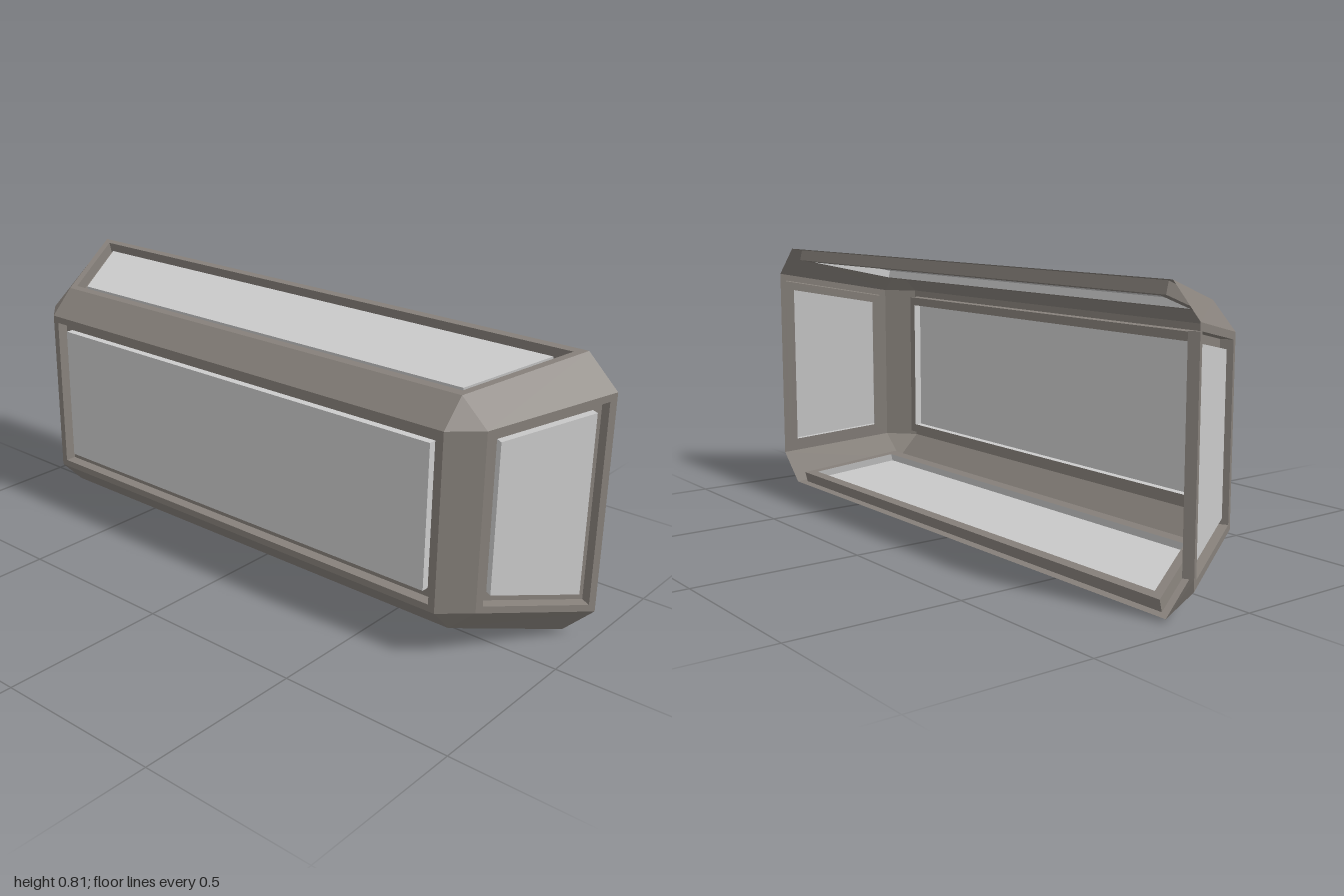
import * as THREE from 'three';

const bodyMat = new THREE.MeshStandardMaterial({ color: 0x87817b, side: THREE.DoubleSide, flatShading: true });
const glassMat = new THREE.MeshStandardMaterial({ color: 0xcccccc, side: THREE.DoubleSide, flatShading: true });

// Flat-sided mesh from convex polygons (arrays of Vector3)
function polyMesh(name, polys, material) {
  const pts = [];
  for (const p of polys)
    for (let i = 1; i < p.length - 1; i++) pts.push(p[0], p[i], p[i + 1]);
  const geo = new THREE.BufferGeometry().setFromPoints(pts);
  geo.computeVertexNormals();
  const mesh = new THREE.Mesh(geo, material);
  mesh.name = name;
  return mesh;
}

// Shrink a planar loop by a margin and sink it below its face
function insetLoop(loop, margin, depth) {
  const n = loop.length;
  const normal = loop[1].clone().sub(loop[0]).cross(loop[n - 1].clone().sub(loop[0])).normalize();
  return loop.map((p, i) => {
    const a = loop[(i + 1) % n].clone().sub(p).normalize();
    const b = loop[(i + n - 1) % n].clone().sub(p).normalize();
    const sin = a.clone().cross(b).length();
    return p.clone().addScaledVector(a.add(b), margin / sin).addScaledVector(normal, -depth);
  });
}

// Quads joining two loops
const strip = (A, B) => A.map((p, i) => {
  const j = (i + 1) % A.length;
  return [p, A[j], B[j], B[i]];
});

// Shell border, sunken frame and a pane standing proud of the frame
function windowPanel(name, loop) {
  const group = new THREE.Group();
  group.name = name;
  const hole = insetLoop(loop, 0.02, 0);
  const frameOuter = insetLoop(loop, 0.02, 0.034);
  const frameInner = insetLoop(loop, 0.046, 0.034);
  const pane = insetLoop(loop, 0.046, 0.011);
  group.add(
    polyMesh('panelBorder', strip(loop, hole), bodyMat),
    polyMesh('windowFrame', [...strip(hole, frameOuter), ...strip(frameOuter, frameInner)], bodyMat),
    polyMesh('glassPane', [...strip(frameInner, pane), pane], glassMat)
  );
  return group;
}

export function createModel() {
  const model = new THREE.Group();
  model.name = 'windowBay';

  // Key corners, mirrored by sign in x and y around the mid height
  const corner = (x, y, z) => (sx, sy) => new THREE.Vector3(sx * x, 0.405 + sy * y, z);
  const F = corner(0.74, 0.255, 0.193);
  const S = corner(0.82, 0.255, 0.12);
  const T = corner(0.74, 0.33, 0.12);
  const SB = corner(1, 0.315, -0.193);
  const TB = corner(0.91, 0.405, -0.193);
  const facing = (poly, sign) => (sign > 0 ? poly : poly.reverse());

  // Windows
  model.add(windowPanel('frontWindow', [F(-1, -1), F(1, -1), F(1, 1), F(-1, 1)]));
  for (const s of [1, -1]) {
    model.add(windowPanel(s > 0 ? 'leftWindow' : 'rightWindow',
      facing([S(s, -1), SB(s, -1), SB(s, 1), S(s, 1)], s)));
    model.add(windowPanel(s > 0 ? 'topWindow' : 'bottomWindow',
      facing([T(-1, s), T(1, s), TB(1, s), TB(-1, s)], s)));
  }

  // Bevels around the front and along the four corners
  const bevels = [];
  for (const s of [1, -1]) {
    bevels.push(facing([F(s, -1), S(s, -1), S(s, 1), F(s, 1)], s));
    bevels.push(facing([F(-1, s), F(1, s), T(1, s), T(-1, s)], s));
    for (const t of [1, -1]) {
      bevels.push(facing([F(s, t), S(s, t), T(s, t)], s * t));
      bevels.push(facing([S(s, t), SB(s, t), TB(s, t), T(s, t)], s * t));
    }
  }
  model.add(polyMesh('bevelledShell', bevels, bodyMat));
  return model;
}
